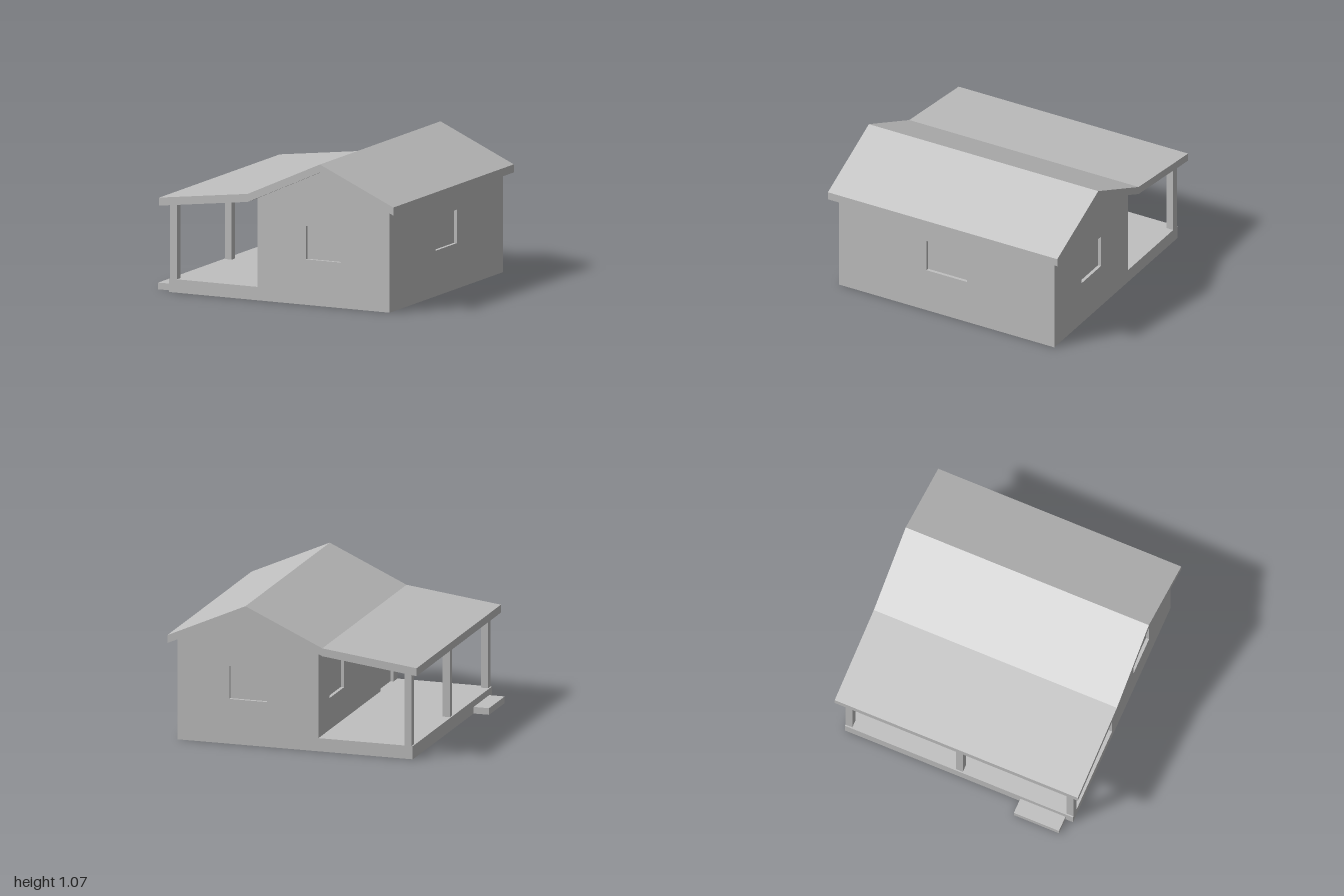
import * as THREE from 'three';

const T = 0.08;        // wall thickness
const HALF = 0.91;     // half depth of the house
const RECESS = 0.025;  // how far panes sit behind the wall face

export function createModel() {
  const house = new THREE.Group();
  house.name = 'house';
  const grey = new THREE.MeshStandardMaterial({ color: 0xbfbfbf });
  grey.name = 'plain grey';

  const add = (name, geometry, parent = house) => {
    const mesh = new THREE.Mesh(geometry, grey);
    mesh.name = name;
    parent.add(mesh);
    return mesh;
  };
  const box = (name, x0, x1, y0, y1, z0, z1, parent) => {
    const mesh = add(name, new THREE.BoxGeometry(x1 - x0, y1 - y0, z1 - z0), parent);
    mesh.position.set((x0 + x1) / 2, (y0 + y1) / 2, (z0 + z1) / 2);
    return mesh;
  };
  const outline = (points) => new THREE.Shape(points.map(([x, y]) => new THREE.Vector2(x, y)));
  const extrude = (shape, depth) =>
    new THREE.ExtrudeGeometry(shape, { depth, bevelEnabled: false });

  // A wall whose outer face is at local z = 0, with recessed panes in its openings
  const wall = (name, points, openings) => {
    const group = new THREE.Group();
    group.name = name;
    const shape = outline(points);
    for (const [, a, b, c, d] of openings) {
      shape.holes.push(new THREE.Path([[a, c], [a, d], [b, d], [b, c]]
        .map(([x, y]) => new THREE.Vector2(x, y))));
    }
    add(name + 'Panel', extrude(shape, T), group).position.z = -T;
    for (const [label, a, b, c, d] of openings) {
      box(label, a, b, c, d, -RECESS - 0.02, -RECESS, group);
    }
    house.add(group);
    return group;
  };

  // Gable ends, each running out along the edge of the porch deck
  const gable = [[-0.88, 0], [0.94, 0], [0.94, 0.767], [0.395, 1.01],
    [-0.15, 0.763], [-0.15, 0.1], [-0.88, 0.1]];
  wall('frontGable', gable, [['frontWindow', 0.25, 0.54, 0.34, 0.59]]).position.z = HALF;
  const mirrored = gable.map(([x, y]) => [-x, y]).reverse();
  const back = wall('backGable', mirrored, [['backWindow', -0.54, -0.25, 0.34, 0.59]]);
  back.rotation.y = Math.PI;
  back.position.z = -HALF;

  // Long walls between the gables
  const w = HALF - T;
  const side = (y0, y1) => [[-w, y0], [w, y0], [w, y1], [-w, y1]];
  const right = wall('sideWall', side(0, 0.767), [['sideWindow', -0.17, 0.17, 0.34, 0.59]]);
  right.rotation.y = Math.PI / 2;
  right.position.x = 0.94;
  const porch = wall('porchWall', side(0.05, 0.763), [
    ['porchWindow', -0.66, -0.32, 0.34, 0.59],
    ['door', 0.52, 0.82, 0.1, 0.59]]);
  porch.rotation.y = -Math.PI / 2;
  porch.position.x = -0.15;

  // Deck, floor and entrance step
  box('porchDeck', -0.88, -0.15, 0, 0.1, -w, w);
  box('floor', -0.15, 0.94 - T, 0, 0.05, -w, w);
  box('step', -1, -0.88, 0, 0.05, 0.49, 0.85);

  // Porch posts
  for (const z of [-0.8825, 0, 0.8825]) {
    box('porchPost', -0.87, -0.815, 0.1, 0.67, z - 0.0275, z + 0.0275);
  }

  // Folded roof slab: porch slope, main slope and far slope
  const top = [[-0.93, 0.71], [-0.2, 0.8], [0.395, 1.07], [1, 0.8]];
  const under = top.map(([x, y]) => [x, y - 0.06]);
  add('roof', extrude(outline([...under, ...top.reverse()]), 1.94)).position.z = -0.97;

  return house;
}
